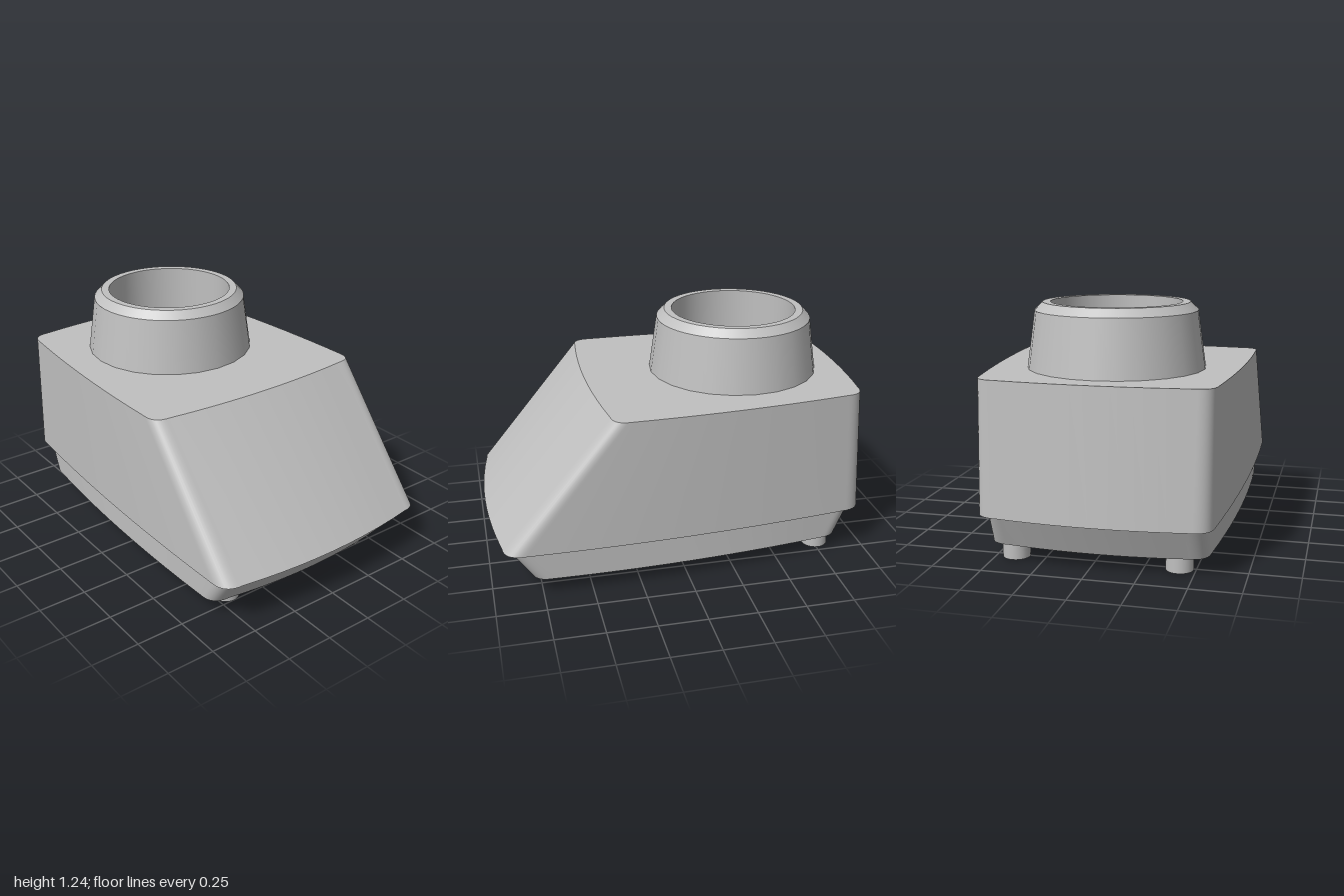
import * as THREE from 'three';

const BORE = 0.33, NECK_X = -0.02, NECK_Z = -0.387;

// Rounded, slightly bulging four-sided outline as (x, z) points.
// Corners run back right, back left, front left, front right; bulges follow the edges between them.
function outline(corners, bulges, r) {
  const c = corners.map(([x, z]) => new THREE.Vector2(x, z));
  const toward = (a, b) => b.clone().sub(a).setLength(r).add(a);
  const shape = new THREE.Shape();
  const start = toward(c[0], c[1]);
  shape.moveTo(start.x, start.y);
  for (let i = 0; i < 4; i++) {
    const a = c[i], b = c[(i + 1) % 4], next = c[(i + 2) % 4];
    const dir = b.clone().sub(a).normalize();
    const ctrl = a.clone().add(b).multiplyScalar(0.5)
      .add(new THREE.Vector2(dir.y, -dir.x).multiplyScalar(bulges[i] * 2));
    const end = toward(b, a), turn = toward(b, next);
    shape.quadraticCurveTo(ctrl.x, ctrl.y, end.x, end.y);
    shape.quadraticCurveTo(b.x, b.y, turn.x, turn.y);
  }
  const pts = shape.getPoints(10);
  pts.pop();
  return pts;
}

// Smooth wall between two outlines of equal point count.
function wall(low, lowY, high, highY) {
  const n = low.length, pos = [], index = [];
  low.forEach(p => pos.push(p.x, lowY, p.y));
  high.forEach(p => pos.push(p.x, highY, p.y));
  for (let i = 0; i < n; i++) {
    const j = (i + 1) % n;
    index.push(i, n + i, n + j, i, n + j, j);
  }
  const geo = new THREE.BufferGeometry();
  geo.setAttribute('position', new THREE.Float32BufferAttribute(pos, 3));
  geo.setIndex(index);
  geo.computeVertexNormals();
  return geo;
}

function capDown(pts, y) {
  return new THREE.ShapeGeometry(new THREE.Shape(pts)).rotateX(Math.PI / 2).translate(0, y, 0);
}

// Upward cap with the round opening of the neck.
function capUpWithHole(pts, y) {
  const shape = new THREE.Shape(pts.map(p => new THREE.Vector2(p.x, -p.y)));
  const hole = new THREE.Path();
  hole.absarc(NECK_X, -NECK_Z, BORE, 0, Math.PI * 2, true);
  shape.holes.push(hole);
  return new THREE.ShapeGeometry(shape, 24).rotateX(-Math.PI / 2).translate(0, y, 0);
}

export function createModel() {
  const group = new THREE.Group();
  const grey = new THREE.MeshStandardMaterial({ color: 0xc0c0c0 });
  grey.name = 'light grey';
  const add = (name, geo, parent = group) => {
    const mesh = new THREE.Mesh(geo, grey);
    mesh.name = name;
    parent.add(mesh);
    return mesh;
  };

  // Housing with a sloping front
  const top = outline([[-0.6, -0.93], [0.535, -0.93], [0.645, 0.385], [-0.65, 0.4]],
    [0.03, 0.02, 0.035, 0.02], 0.09);
  const rim = outline([[-0.6, -0.965], [0.54, -0.965], [0.655, 0.94], [-0.648, 0.952]],
    [0.033, 0.03, 0.046, 0.026], 0.11);
  add('housingWall', wall(rim, 0.25, top, 0.91));
  add('housingTop', capUpWithHole(top, 0.91));
  add('housingLip', capDown(rim, 0.25));

  // Recessed base, tapering at front and back
  const baseTop = outline([[-0.565, -0.93], [0.505, -0.93], [0.62, 0.915], [-0.613, 0.927]],
    [0.033, 0.03, 0.046, 0.026], 0.1);
  const baseBottom = outline([[-0.568, -0.853], [0.51, -0.853], [0.615, 0.8], [-0.613, 0.812]],
    [0.033, 0.03, 0.046, 0.026], 0.1);
  add('baseWall', wall(baseBottom, 0.085, baseTop, 0.25));
  add('baseBottom', capDown(baseBottom, 0.085));

  // Tapered neck: each band is its own lathe so the edges stay sharp
  const neck = new THREE.Group();
  neck.name = 'neck';
  neck.position.set(NECK_X, 0, NECK_Z);
  group.add(neck);
  const bands = [
    ['neckSide', 0.45, 0.91, 0.41, 1.197],
    ['neckChamfer', 0.41, 1.197, 0.37, 1.238],
    ['neckRim', 0.37, 1.238, BORE, 1.238],
    ['neckBore', BORE, 1.238, BORE, 0.6],
    ['boreFloor', BORE, 0.6, 0, 0.6],
  ];
  for (const [name, r0, y0, r1, y1] of bands) {
    const profile = [new THREE.Vector2(r0, y0), new THREE.Vector2(r1, y1)];
    add(name, new THREE.LatheGeometry(profile, name === 'neckSide' ? 24 : 48), neck);
  }

  // Four round feet
  for (const [x, z] of [[-0.435, 0.682], [0.402, 0.682], [-0.42, -0.76], [0.402, -0.76]]) {
    add('foot', new THREE.CylinderGeometry(0.069, 0.069, 0.09, 24)).position.set(x, 0.045, z);
  }
  return group;
}
